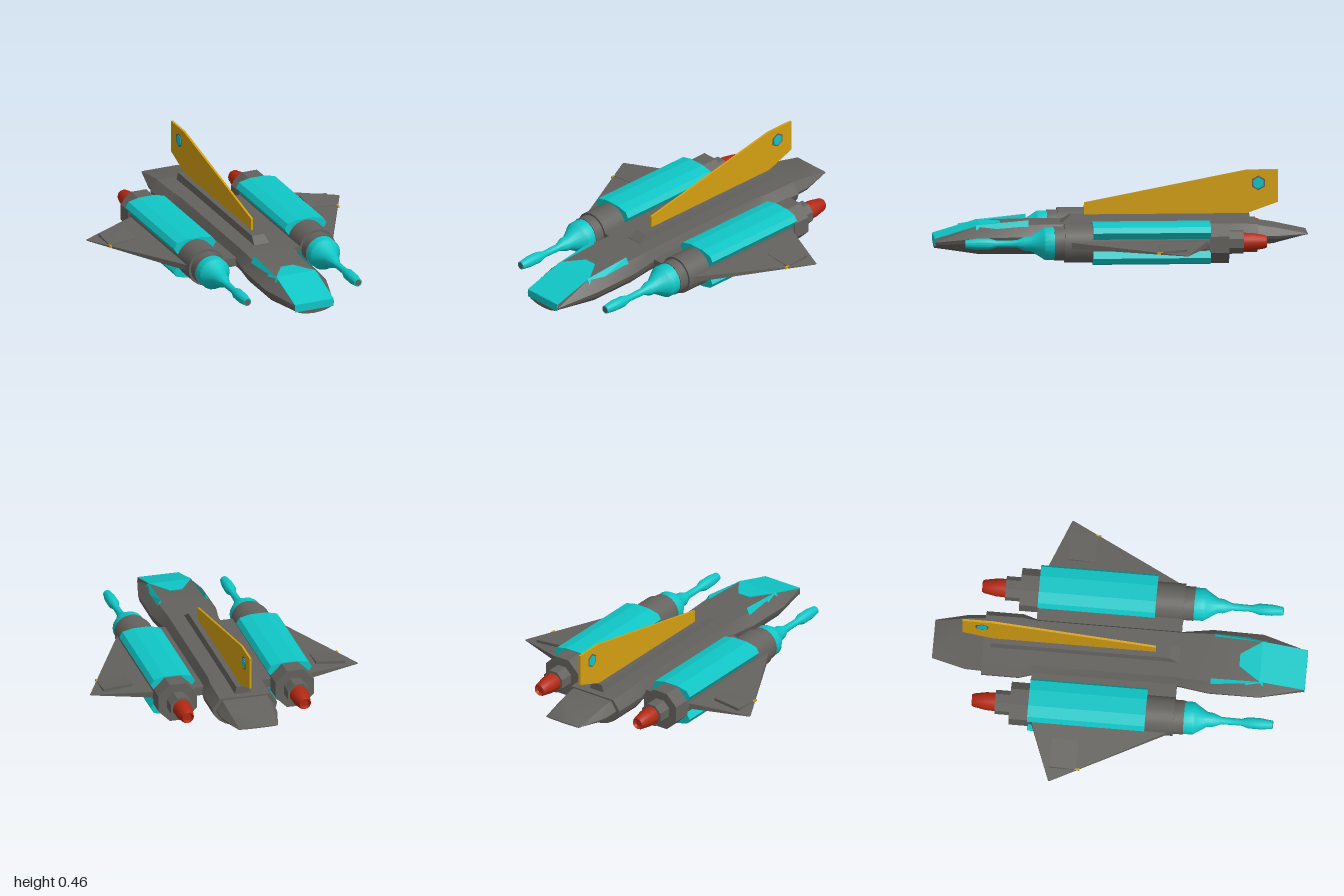
import * as THREE from 'three';
import { toCreasedNormals } from 'three/addons/utils/BufferGeometryUtils.js';

const paint = (name, color) => {
  const m = new THREE.MeshStandardMaterial({ color });
  m.name = name;
  return m;
};

// Closed skin through rings of 3D points; each ring runs anticlockwise seen from the first end.
function loft(rings) {
  const out = [];
  const n = rings[0].length;
  const tri = (a, b, c) => out.push(...a, ...b, ...c);
  for (let k = 0; k < rings.length - 1; k++) {
    for (let j = 0; j < n; j++) {
      const i = (j + 1) % n;
      const a = rings[k][j], b = rings[k][i], c = rings[k + 1][i], d = rings[k + 1][j];
      tri(a, d, c);
      tri(a, c, b);
    }
  }
  const last = rings[rings.length - 1];
  for (let j = 1; j < n - 1; j++) {
    tri(rings[0][0], rings[0][j], rings[0][j + 1]);
    tri(last[0], last[j + 1], last[j]);
  }
  const g = new THREE.BufferGeometry();
  g.setAttribute('position', new THREE.Float32BufferAttribute(out, 3));
  g.computeVertexNormals();
  return g;
}

// Mirrors rings across x = 0 while keeping faces outward
const flip = (rings, side) => side > 0 ? rings
  : rings.map(r => r.map(([x, y, z]) => [-x, y, z]).reverse());

// Round or faceted body along z from [radius, z] points, ordered back to front
function turned(profile, sides, turn = 0) {
  const g = new THREE.LatheGeometry(profile.map(p => new THREE.Vector2(...p)), sides);
  g.rotateY(turn).rotateX(Math.PI / 2);
  return toCreasedNormals(g, 0.6);
}

// Hull section: flat deck, sloping shoulders and a rounded belly
function hullRing([z, deck, top, wide, mid, bottom]) {
  const ring = [[deck, top, z], [-deck, top, z]];
  for (let i = 0; i <= 10; i++) {
    const a = Math.PI + (Math.PI * i) / 10;
    ring.push([wide * Math.cos(a), mid + (mid - bottom) * Math.sin(a), z]);
  }
  return ring;
}

// Thin plate from four corners of its top face, anticlockwise from above
function plate(corners, t = 0.004) {
  const low = corners.map(([x, y, z]) => [x, y - t, z]);
  return loft([corners, low]);
}

export function createModel() {
  const model = new THREE.Group();
  model.name = 'spacecraft';
  const grey = paint('hull grey', 0x64625e);
  const cyan = paint('cyan', 0x10c6c6);
  const gold = paint('gold', 0xd4a012);
  const red = paint('red', 0xb22812);

  const add = (name, geo, mat, x = 0, y = 0, z = 0) => {
    const m = new THREE.Mesh(geo, mat);
    m.name = name;
    m.position.set(x, y, z);
    model.add(m);
    return m;
  };

  // Fuselage and tapered tail
  const hull = [
    [1.0, 0.113, 0.116, 0.116, 0.095, 0.055],
    [0.76, 0.115, 0.186, 0.178, 0.125, 0.018],
    [0.49, 0.135, 0.19, 0.18, 0.13, 0.016],
    [0.33, 0.128, 0.19, 0.155, 0.13, 0.016],
    [-0.45, 0.128, 0.19, 0.155, 0.13, 0.016],
    [-0.53, 0.138, 0.19, 0.18, 0.13, 0.016],
    [-0.73, 0.138, 0.185, 0.18, 0.13, 0.016],
  ];
  add('fuselage', toCreasedNormals(loft(hull.map(hullRing)), 0.45), grey);
  const tail = [
    [-0.72, 0.125, 0.178, 0.16, 0.125, 0.055],
    [-0.82, 0.12, 0.163, 0.155, 0.12, 0.066],
    [-1.0, 0.105, 0.126, 0.11, 0.124, 0.12],
  ];
  add('tail', toCreasedNormals(loft(tail.map(hullRing)), 0.45), grey);

  // Painted nose and cockpit glazing
  add('noseTop', plate([[-0.114, 0.119, 1], [0.114, 0.119, 1], [0.115, 0.19, 0.76], [-0.115, 0.19, 0.76]]), cyan);
  add('noseFront', new THREE.BoxGeometry(0.226, 0.04, 0.004), cyan, 0, 0.097, 1);
  add('canopyTop', plate([[-0.115, 0.19, 0.76], [0.115, 0.19, 0.76], [0.035, 0.192, 0.645], [-0.035, 0.192, 0.645]]), cyan);

  // Raised spine with a sloped front
  const spineRing = (z, w, top) => [[0.045, 0.18, z], [w, top, z], [-w, top, z], [-0.045, 0.18, z]];
  add('spine', loft([spineRing(0.32, 0.045, 0.192), spineRing(0.27, 0.035, 0.226), spineRing(-0.69, 0.035, 0.226)]), grey);

  // Upright fin with a hexagonal boss
  const finShape = new THREE.Shape([
    [0.195, 0.22], [0.195, 0.29], [-0.68, 0.46], [-0.845, 0.46], [-0.845, 0.285], [-0.68, 0.226],
  ].map(p => new THREE.Vector2(...p)));
  const fin = new THREE.ExtrudeGeometry(finShape, { depth: 0.012, bevelEnabled: false });
  fin.translate(0, 0, -0.006).rotateY(-Math.PI / 2);
  add('fin', fin, gold);
  const hex = (r, w) => new THREE.CylinderGeometry(r, r, w, 6, 1, false, Math.PI / 6).rotateZ(Math.PI / 2);
  add('finBossRim', hex(0.04, 0.016), grey, 0, 0.388, -0.74);
  add('finBoss', hex(0.031, 0.02), cyan, 0, 0.388, -0.74);

  // Armour shell section, wrapped over the engine core
  const shellShape = new THREE.Shape();
  shellShape.moveTo(0.1, 0.032);
  [[0.123, 0.068], [0.105, 0.097], [0.045, 0.111], [-0.045, 0.111], [-0.105, 0.097], [-0.123, 0.068], [-0.1, 0.032]]
    .forEach(p => shellShape.lineTo(...p));
  for (let i = 1; i < 12; i++) {
    const a = Math.PI * (0.9 - (0.8 * i) / 12);
    shellShape.lineTo(0.1 * Math.cos(a), 0.1 * Math.sin(a));
  }
  const shell = new THREE.ExtrudeGeometry(shellShape, { depth: 0.63, bevelEnabled: false });
  shell.translate(0, 0, -0.46);

  const core = turned([[0, -0.5], [0.104, -0.5], [0.104, 0.32], [0.092, 0.32], [0.092, 0.375], [0, 0.375]], 24);
  const block = turned([[0, -0.56], [0.115, -0.56], [0.115, -0.455], [0, -0.455]], 8, Math.PI / 8);
  const mount = turned([[0, -0.64], [0.065, -0.64], [0.065, -0.55], [0, -0.55]], 8, Math.PI / 8);
  const nozzle = turned([[0, -0.75], [0.022, -0.75], [0.03, -0.766], [0.036, -0.755], [0.048, -0.69], [0.05, -0.635], [0, -0.635]], 16);
  const gun = turned([
    [0, 0.37], [0.088, 0.37], [0.088, 0.425], [0.078, 0.44], [0.04, 0.5], [0.038, 0.53],
    [0.02, 0.575], [0.018, 0.68], [0.03, 0.72], [0.03, 0.79], [0.022, 0.85], [0, 0.85],
  ], 20);
  const muzzle = turned([[0, 0.845], [0.017, 0.845], [0.017, 0.852], [0, 0.852]], 16);

  for (const side of [1, -1]) {
    const tag = side > 0 ? 'left' : 'right';
    const ex = 0.325 * side, ey = 0.115;

    // Engine pod with gun in front and nozzle behind
    add(tag + 'EngineCore', core, grey, ex, ey);
    add(tag + 'EngineBlock', block, grey, ex, ey);
    add(tag + 'NozzleMount', mount, grey, ex, ey);
    add(tag + 'Nozzle', nozzle, red, ex, ey);
    add(tag + 'Gun', gun, cyan, ex, ey);
    add(tag + 'Muzzle', muzzle, grey, ex, ey);
    add(tag + 'UpperShell', shell, cyan, ex, ey);
    add(tag + 'LowerShell', shell, cyan, ex, ey).rotation.z = Math.PI;

    // Pylon and swept wing
    add(tag + 'Pylon', new THREE.BoxGeometry(0.13, 0.048, 0.78), grey, 0.195 * side, 0.115, -0.07);
    const wingRing = (x, front, back, low, high) =>
      [[x, low, front], [x, low, back], [x, high, back], [x, high, front]];
    add(tag + 'Wing', loft(flip([
      wingRing(0.742, -0.31, -0.32, 0.098, 0.101),
      wingRing(0.41, 0.32, -0.445, 0.1, 0.134),
    ], side)), grey);

    // Wedge housing and small gun on the wing
    add(tag + 'WingHousing', loft(flip([
      [[0.67, 0.1, -0.175], [0.67, 0.1, -0.32], [0.67, 0.125, -0.32], [0.67, 0.112, -0.175]],
      [[0.51, 0.1, -0.175], [0.51, 0.1, -0.32], [0.51, 0.14, -0.32], [0.51, 0.126, -0.175]],
    ], side)), grey);
    add(tag + 'WingGun', new THREE.BoxGeometry(0.008, 0.012, 0.03), gold, 0.668 * side, 0.107, -0.172);

    // Cockpit side rail
    add(tag + 'CockpitRail', loft(flip([
      [[0.112, 0.18, 0.78], [0.148, 0.142, 0.78], [0.114, 0.187, 0.78]],
      [[0.122, 0.18, 0.5], [0.15, 0.165, 0.5], [0.126, 0.214, 0.5]],
    ], side)), cyan);
  }
  return model;
}
